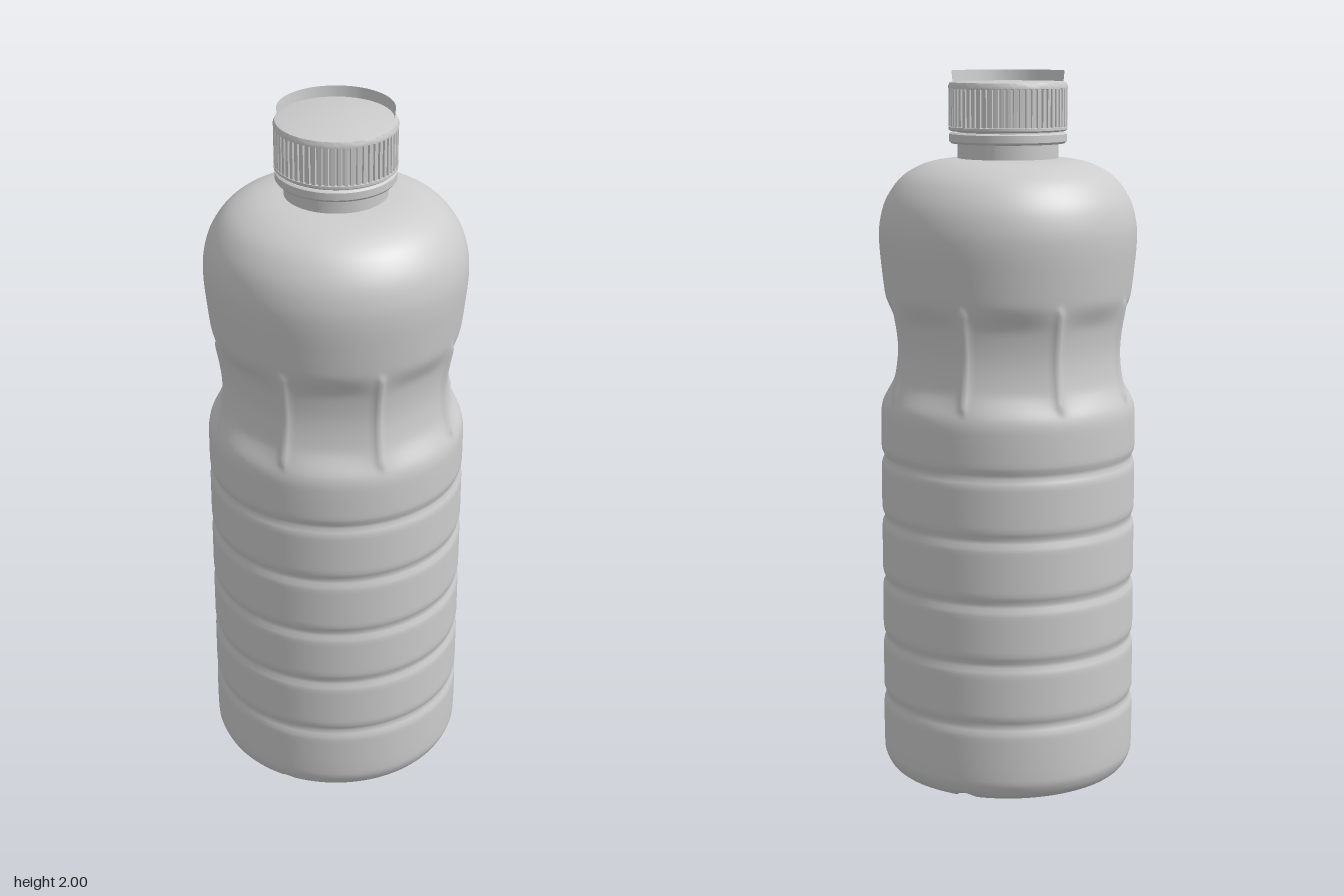
import * as THREE from 'three';
import { mergeVertices, toCreasedNormals } from 'three/addons/utils/BufferGeometryUtils.js';

const { smoothstep } = THREE.MathUtils;
const vec = ([x, y]) => new THREE.Vector2(x, y);

// Bottle outline from the centre of the base up to the neck: [radius, height]
const OUTLINE = [
  [0, 0.035], [0.12, 0.034], [0.21, 0.03], [0.25, 0.018], [0.28, 0.004], [0.305, 0.002],
  [0.335, 0.015], [0.353, 0.042], [0.36, 0.085], [0.36, 0.3], [0.36, 0.6], [0.36, 0.9],
  [0.36, 1.03], [0.357, 1.07], [0.345, 1.11], [0.331, 1.17], [0.325, 1.23], [0.329, 1.29],
  [0.343, 1.37], [0.353, 1.45], [0.36, 1.53], [0.357, 1.59], [0.339, 1.65], [0.3, 1.705],
  [0.25, 1.738], [0.195, 1.755], [0.13, 1.762],
];
const GROOVES = [0.225, 0.4, 0.57, 0.75, 0.925];
const PANEL = Math.PI / 4;

// Surface of revolution reshaped by ring grooves, eight grip panels and a base channel
function bodyGeometry() {
  const curve = new THREE.SplineCurve(OUTLINE.map(vec));
  const points = curve.getSpacedPoints(200);
  points[0].x = 0;
  let geo = new THREE.LatheGeometry(points, 224);
  geo.deleteAttribute('uv');
  geo.deleteAttribute('normal');
  const p = geo.attributes.position;
  for (let i = 0; i < p.count; i++) {
    const x = p.getX(i), y = p.getY(i), z = p.getZ(i);
    const r = Math.hypot(x, z);
    if (r < 1e-5) continue;
    let newR = r;

    // Horizontal rings
    if (r > 0.34) {
      for (const g of GROOVES) newR -= 0.009 * Math.exp(-(((y - g) / 0.014) ** 2));
    }

    // Flattened panels with a thin upright ridge where they meet
    const a = Math.atan2(x, z);
    const off = Math.abs(a - Math.round(a / PANEL) * PANEL);
    const grip = smoothstep(y, 1.08, 1.15) * (1 - smoothstep(y, 1.31, 1.39));
    const flat = Math.cos(PANEL / 2) / Math.cos(PANEL / 2 - off);
    newR *= 1 - 0.6 * grip * (1 - flat);
    const ridge = smoothstep(y, 1.09, 1.11) * (1 - smoothstep(y, 1.365, 1.385));
    newR += 0.007 * ridge * Math.max(0, 1 - off / 0.042);

    // Channel running front to back under the base
    const newY = y < 0.03 ? Math.max(y, 0.022 * (1 - (x / 0.035) ** 2)) : y;
    p.setXYZ(i, (x * newR) / r, newY, (z * newR) / r);
  }
  geo = mergeVertices(geo, 1e-5);
  geo.computeVertexNormals();
  return geo;
}

function lathe(points, segments = 96) {
  return toCreasedNormals(new THREE.LatheGeometry(points.map(vec), segments), 0.5);
}

// Toothed band for the cap grip
function ribbedBand(teeth, inner, outer, height) {
  const shape = new THREE.Shape();
  const step = (Math.PI * 2) / teeth;
  for (let i = 0; i < teeth; i++) {
    [[0, inner], [0.25, inner], [0.35, outer], [0.9, outer]].forEach(([t, r], k) => {
      const a = (i + t) * step;
      if (i === 0 && k === 0) shape.moveTo(r * Math.cos(a), r * Math.sin(a));
      else shape.lineTo(r * Math.cos(a), r * Math.sin(a));
    });
  }
  shape.closePath();
  const geo = new THREE.ExtrudeGeometry(shape, { depth: height, bevelEnabled: false });
  return geo.rotateX(-Math.PI / 2);
}

export function createModel() {
  const plastic = new THREE.MeshStandardMaterial({ color: 0xcccccc });
  plastic.name = 'light grey plastic';
  const model = new THREE.Group();
  model.name = 'bottle';
  const add = (name, geometry, parent = model) => {
    const mesh = new THREE.Mesh(geometry, plastic);
    mesh.name = name;
    parent.add(mesh);
    return mesh;
  };

  add('body', bodyGeometry());
  add('neck', lathe([[0.14, 1.745], [0.14, 1.84]]));

  const cap = new THREE.Group();
  cap.name = 'cap';
  model.add(cap);

  // Tamper ring below the cap
  add('sealRing', lathe([
    [0.138, 1.802], [0.158, 1.802], [0.163, 1.808], [0.163, 1.828], [0.157, 1.832], [0.138, 1.832],
  ]), cap);

  // Cap shell, with plain lips above and below the ribs and a flat top
  add('capShell', lathe([
    [0.138, 1.836], [0.16, 1.836], [0.165, 1.84], [0.165, 1.847], [0.158, 1.849],
    [0.158, 1.95], [0.165, 1.952], [0.165, 1.96], [0.161, 1.968], [0.155, 1.97], [0, 1.97],
  ]), cap);
  add('capRibs', ribbedBand(60, 0.159, 0.1645, 0.104), cap).position.y = 1.848;

  // Thin upright rim, facing inwards
  add('capRim', lathe([[0.156, 2], [0.153, 1.97]]), cap);

  return model;
}
